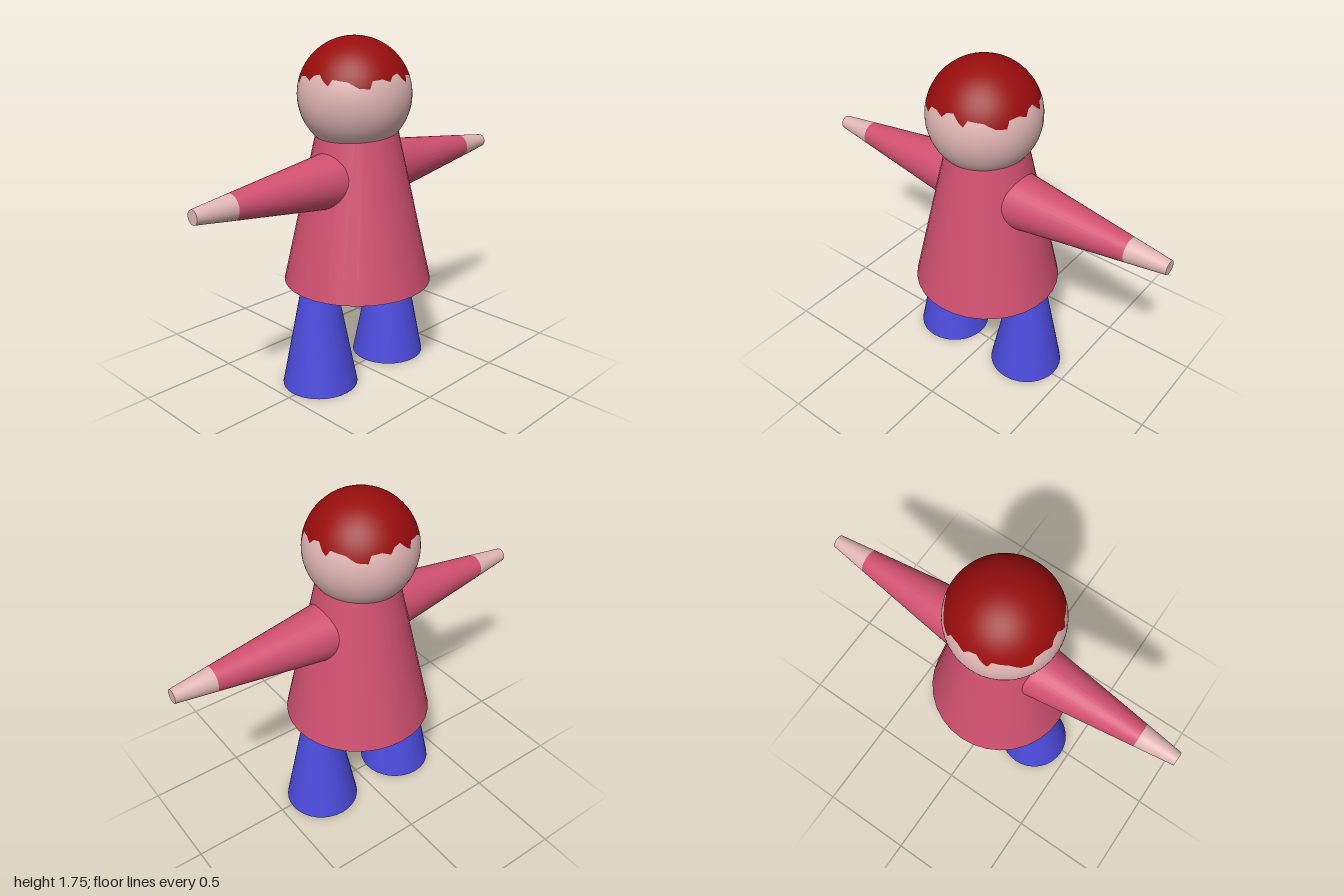
import * as THREE from 'three';

const mat = (name, color) => {
  const m = new THREE.MeshStandardMaterial({ color });
  m.name = name;
  return m;
};

// Hairline heights over a quarter turn: [degrees from the front, y]
const HAIRLINE = [
  [-41, 1.545], [-30, 1.54], [-27, 1.575], [-16, 1.58], [-7, 1.565], [-2, 1.59],
  [6, 1.597], [13, 1.565], [18, 1.55], [22, 1.58], [38, 1.572],
];
const HEAD_Y = 1.475, HEAD_R = 0.28;

// Columns around the head: [angle, polar angle of the hairline]
function hairColumns() {
  const cols = [];
  for (let q = 0; q < 4; q++) {
    HAIRLINE.forEach(([a, y], i) => {
      const [a2, y2] = HAIRLINE[i + 1] ?? [HAIRLINE[0][0] + 90, HAIRLINE[0][1]];
      for (const t of [0, 0.5]) {
        const angle = THREE.MathUtils.degToRad(q * 90 + a + (a2 - a) * t);
        cols.push([angle, Math.acos((y + (y2 - y) * t - HEAD_Y) / HEAD_R)]);
      }
    });
  }
  cols.push([cols[0][0] + Math.PI * 2, cols[0][1]]);
  return cols;
}

// Part of the head sphere, above or below the hairline
function headPart(cols, rows, above) {
  const pos = [], nor = [], idx = [];
  const w = rows + 1;
  cols.forEach(([a, edge], i) => {
    for (let j = 0; j <= rows; j++) {
      const t = j / rows;
      const th = above ? edge * t : edge + (Math.PI - edge) * t;
      const n = [Math.sin(th) * Math.sin(a), Math.cos(th), Math.sin(th) * Math.cos(a)];
      nor.push(...n);
      pos.push(...n.map((v) => v * HEAD_R));
      if (i < cols.length - 1 && j < rows) {
        const p = i * w + j;
        idx.push(p, p + 1, p + w, p + 1, p + w + 1, p + w);
      }
    }
  });
  const g = new THREE.BufferGeometry();
  g.setAttribute('position', new THREE.Float32BufferAttribute(pos, 3));
  g.setAttribute('normal', new THREE.Float32BufferAttribute(nor, 3));
  g.setIndex(idx);
  return g;
}

export function createModel() {
  const skin = mat('skin', 0xe0b6b4);
  const coat = mat('coat pink', 0xd05070);
  const blue = mat('trouser blue', 0x4b4bdb);
  const red = mat('hair red', 0x980d0d);

  const model = new THREE.Group();
  model.name = 'figure';
  const add = (parent, name, geometry, material, x = 0, y = 0, z = 0) => {
    const m = new THREE.Mesh(geometry, material);
    m.name = name;
    m.position.set(x, y, z);
    parent.add(m);
    return m;
  };
  const cone = (top, bottom, h) => new THREE.CylinderGeometry(top, bottom, h, 32);

  // Flared coat, running up inside the head
  add(model, 'coat', cone(0.18, 0.378, 0.885), coat, -0.012, 0.515 + 0.4425, 0);

  // Head and hair meet along the jagged hairline
  const head = new THREE.Group();
  head.name = 'head';
  head.position.set(-0.03, HEAD_Y, 0);
  model.add(head);
  const cols = hairColumns();
  add(head, 'face', headPart(cols, 24, false), skin);
  add(head, 'hair', headPart(cols, 14, true), red);

  for (const s of [1, -1]) {
    const side = s > 0 ? 'left' : 'right';

    // Sleeve and hand form one tapering arm
    const arm = new THREE.Group();
    arm.name = side + 'Arm';
    arm.position.set(0, 1.075, 0.006);
    arm.rotation.z = -s * Math.PI / 2;
    model.add(arm);
    add(arm, side + 'Sleeve', cone(0.062, 0.157, 0.72), coat, 0, 0.44, 0);
    add(arm, side + 'Hand', cone(0.035, 0.062, 0.2), skin, 0, 0.9, 0);

    // Leg, wide at the floor
    add(model, side + 'Leg', cone(0.066, 0.193, 0.65), blue, -0.011 + s * 0.256, 0.325, -0.018);
  }
  return model;
}
